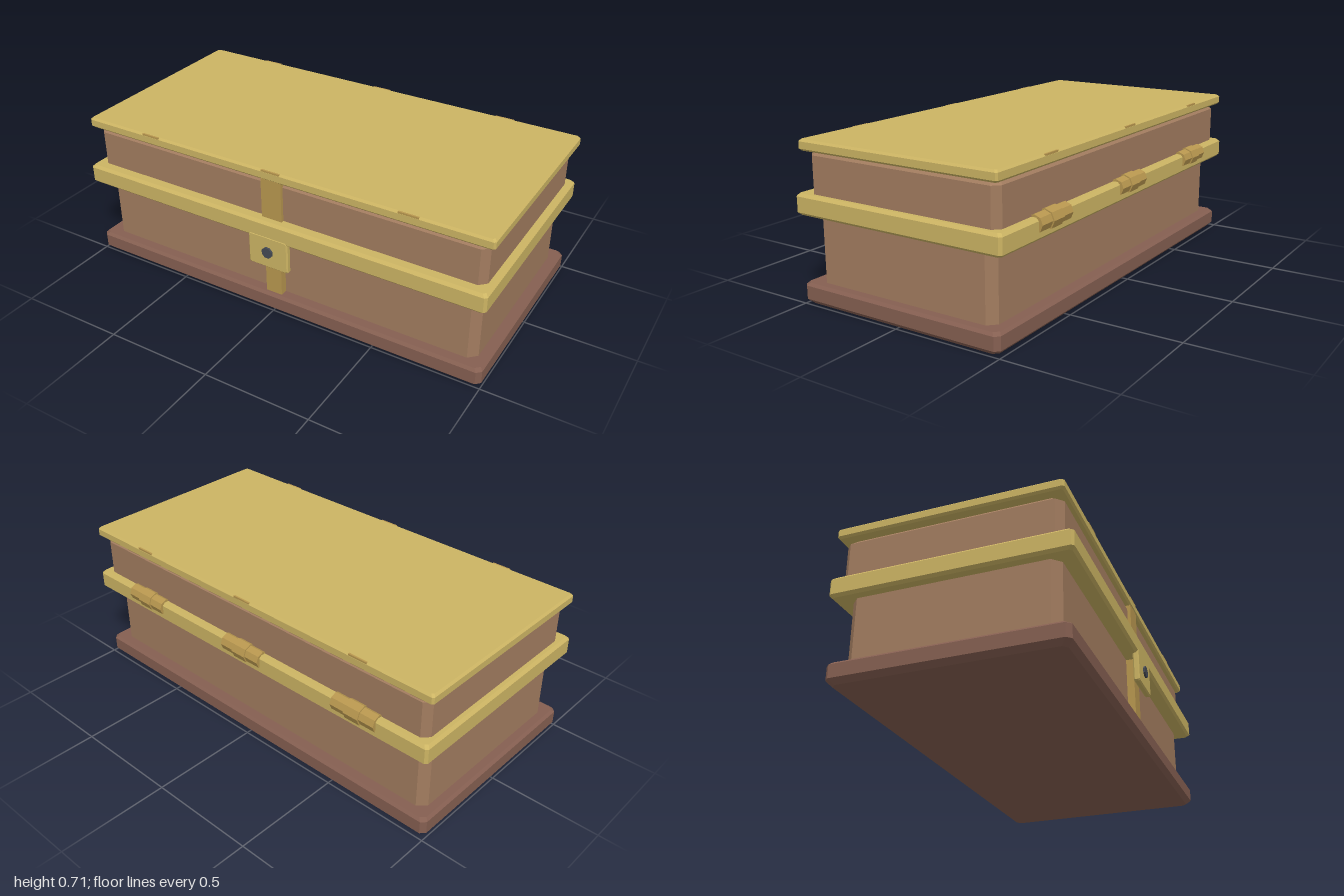
import * as THREE from 'three';
import { ConvexGeometry } from 'three/addons/geometries/ConvexGeometry.js';

const paint = (color) => new THREE.MeshStandardMaterial({ color, flatShading: true });

export function createModel() {
  const chest = new THREE.Group();
  chest.name = 'chest';
  const wood = paint(0xa27c5f), darkWood = paint(0x855f51);
  const brass = paint(0xccb463), strapBrass = paint(0xb8974f), iron = paint(0x454a54);

  const add = (name, geometry, material) => {
    const mesh = new THREE.Mesh(geometry, material);
    mesh.name = name;
    chest.add(mesh);
    return mesh;
  };

  // Slab with cut vertical corners and optional chamfers along its bottom and top edges
  function slab(name, material, w, [z0, z1], [y0, y1], cut, bottom = 0, top = 0) {
    const points = [];
    const cz = (z0 + z1) / 2;
    const rings = [[y0, bottom], [y0 + bottom, 0], [y1 - top, 0], [y1, top]];
    for (const [y, inset] of rings) {
      const hx = w - inset, hz = (z1 - z0) / 2 - inset;
      for (const sx of [-1, 1]) for (const sz of [-1, 1]) {
        points.push(new THREE.Vector3(sx * (hx - cut), y, cz + sz * hz));
        points.push(new THREE.Vector3(sx * hx, y, cz + sz * (hz - cut)));
      }
    }
    return add(name, new ConvexGeometry(points), material);
  }

  function block(name, material, [x0, x1], [y0, y1], [z0, z1]) {
    const mesh = add(name, new THREE.BoxGeometry(x1 - x0, y1 - y0, z1 - z0), material);
    mesh.position.set((x0 + x1) / 2, (y0 + y1) / 2, (z0 + z1) / 2);
    return mesh;
  }

  // Stacked wooden body and brass trim
  slab('base', darkWood, 1, [-0.493, 0.507], [0, 0.093], 0.02, 0.022, 0.012);
  slab('lowerBody', wood, 0.953, [-0.44, 0.453], [0.08, 0.395], 0.036);
  slab('rimBand', brass, 1, [-0.51, 0.524], [0.385, 0.477], 0.011, 0.012, 0.012);
  slab('lidBody', wood, 0.97, [-0.476, 0.472], [0.465, 0.662], 0.03, 0, 0.022);
  slab('lidTop', brass, 1, [-0.496, 0.49], [0.66, 0.708], 0.008, 0.009, 0.009);

  // Straps: two on the front, three running over the lid
  block('lowerStrap', strapBrass, [-0.04, 0.04], [0.093, 0.39], [0.44, 0.487]);
  block('upperStrap', strapBrass, [-0.05, 0.05], [0.47, 0.665], [0.46, 0.487]);
  for (const x of [-0.64, 0, 0.64]) {
    block('lidStrap', strapBrass, [x - 0.045, x + 0.045], [0.67, 0.7075], [-0.4955, 0.4895]);
  }

  // Clasp plate with keyhole
  const plate = slab('claspPlate', brass, 0.1, [-0.079, 0.079], [0, 0.028], 0.006, 0.006, 0.006);
  plate.rotation.x = Math.PI / 2;
  plate.position.set(0, 0.328, 0.498);
  const keyhole = add('keyhole', new THREE.CylinderGeometry(0.027, 0.027, 0.02, 8), iron);
  keyhole.rotation.set(Math.PI / 2, Math.PI / 8, 0);
  keyhole.position.set(0, 0.33, 0.525);

  // Hinges along the back
  for (const x of [-0.64, 0, 0.64]) {
    for (const [name, radius, length] of [['hingeBarrel', 0.039, 0.224], ['hingeKnuckle', 0.045, 0.075]]) {
      const part = add(name, new THREE.CylinderGeometry(radius, radius, length, 8), strapBrass);
      part.rotation.z = Math.PI / 2;
      part.position.set(x, 0.45, -0.488);
    }
  }
  return chest;
}
